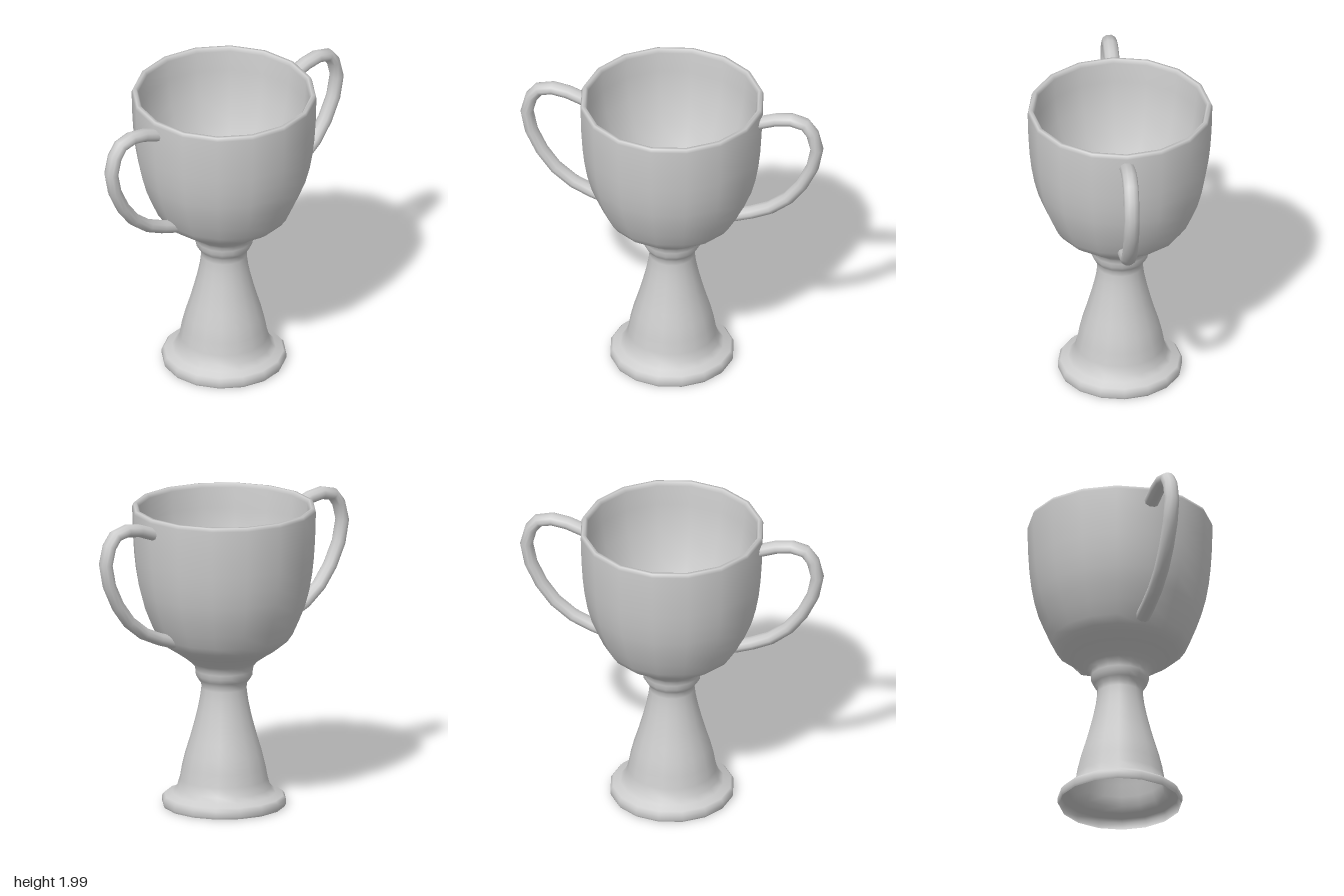
import * as THREE from 'three';

const material = new THREE.MeshStandardMaterial({ color: 0xcccccc, side: THREE.DoubleSide });
const SIDES = 16;

// Turned part from [radius, height] pairs
function turned(name, profile) {
  const points = profile.map(([r, y]) => new THREE.Vector2(r, y));
  const mesh = new THREE.Mesh(new THREE.LatheGeometry(points, SIDES), material);
  mesh.name = name;
  return mesh;
}

// Oval tube with one ring at each path point
function handle(name, angle) {
  const path = [
    [0.57, 1.888], [0.69, 1.932], [0.79, 1.947], [0.88, 1.925], [0.93, 1.86], [0.959, 1.745],
    [0.93, 1.6], [0.86, 1.455], [0.77, 1.335], [0.65, 1.24], [0.53, 1.185], [0.415, 1.145],
  ].map(([x, y]) => new THREE.Vector3(x, y, 0));
  const curve = new THREE.CatmullRomCurve3(path);
  curve.getPointAt = (t, target) => curve.getPoint(t, target);
  curve.getTangentAt = (t, target) => curve.getTangent(t, target);
  const geometry = new THREE.TubeGeometry(curve, path.length - 1, 0.042, 10);
  geometry.scale(1, 1, 1.2);
  const mesh = new THREE.Mesh(geometry, material);
  mesh.name = name;
  mesh.rotation.y = angle;
  return mesh;
}

export function createModel() {
  const group = new THREE.Group();
  group.name = 'trophyCup';

  // Hollow foot, stem, collar and outer bowl in one sweep, then over the rim and inside
  group.add(turned('cupBody', [
    // foot
    [0.395, 0], [0.402, 0.015], [0.402, 0.05], [0.385, 0.07], [0.335, 0.088], [0.305, 0.12],
    // stem
    [0.286, 0.18], [0.272, 0.26], [0.25, 0.35], [0.222, 0.44], [0.197, 0.53], [0.172, 0.63],
    [0.156, 0.71], [0.147, 0.78], [0.149, 0.815],
    // collar
    [0.168, 0.84], [0.185, 0.87], [0.187, 0.9], [0.193, 0.93], [0.215, 0.955],
    // outer bowl
    [0.255, 0.987], [0.31, 1.025], [0.365, 1.06], [0.41, 1.095], [0.445, 1.145], [0.485, 1.235],
    [0.525, 1.335], [0.553, 1.44], [0.572, 1.55], [0.584, 1.66], [0.592, 1.79],
    // rim
    [0.597, 1.965], [0.588, 1.988], [0.568, 1.99], [0.553, 1.965],
    // inner bowl, tapering to a small round floor
    [0.547, 1.83], [0.52, 1.66], [0.465, 1.48], [0.39, 1.31], [0.3, 1.155], [0.22, 1.035],
    [0.16, 0.97], [0.09, 0.945], [0, 0.94],
  ]));

  // Handles on both sides
  group.add(handle('leftHandle', 0), handle('rightHandle', Math.PI));
  return group;
}
